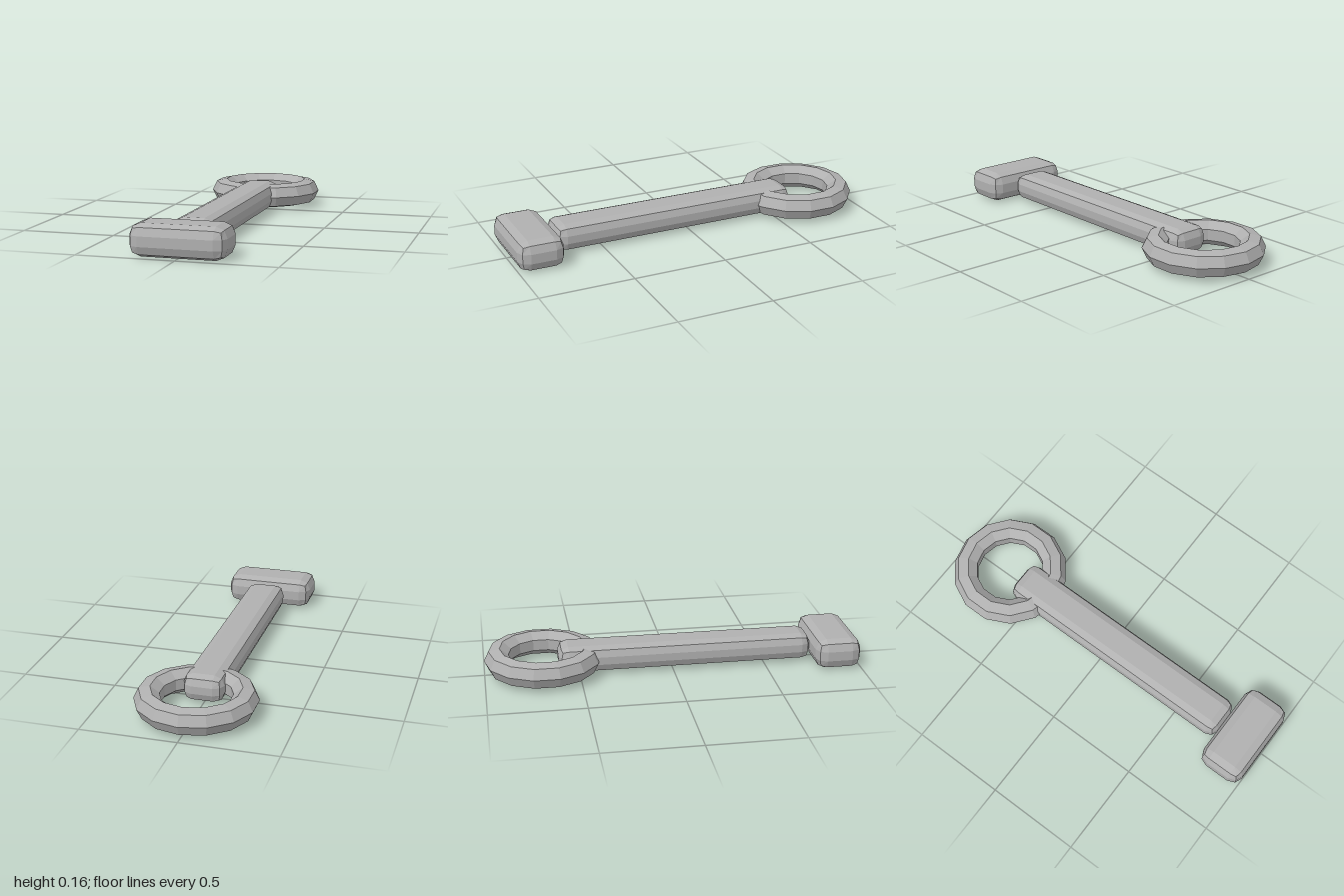
import * as THREE from 'three';
import { RoundedBoxGeometry } from 'three/addons/geometries/RoundedBoxGeometry.js';

export function createModel() {
  const group = new THREE.Group();
  const steel = new THREE.MeshStandardMaterial({ color: 0xb0b0b0 });
  steel.name = 'steelGrey';
  steel.flatShading = true;

  const add = (name, geometry, x, y, z) => {
    const mesh = new THREE.Mesh(geometry, steel);
    mesh.name = name;
    mesh.position.set(x, y, z);
    group.add(mesh);
    return mesh;
  };

  // Crosswise head and long bar, each with two-step bevelled edges
  add('crossHead', new RoundedBoxGeometry(0.484, 0.163, 0.246, 1, 0.056), 0, 0.0815, 0.877);
  add('bar', new RoundedBoxGeometry(0.212, 0.143, 1.362, 1, 0.051), 0, 0.083, 0.072);

  // Faceted ring lying flat, threaded through the end of the bar
  const ring = new THREE.TorusGeometry(0.244, 0.068, 7, 14);
  ring.rotateZ(Math.PI / 2).rotateX(-Math.PI / 2);
  add('ring', ring, 0, 0.081, -0.688);

  return group;
}
